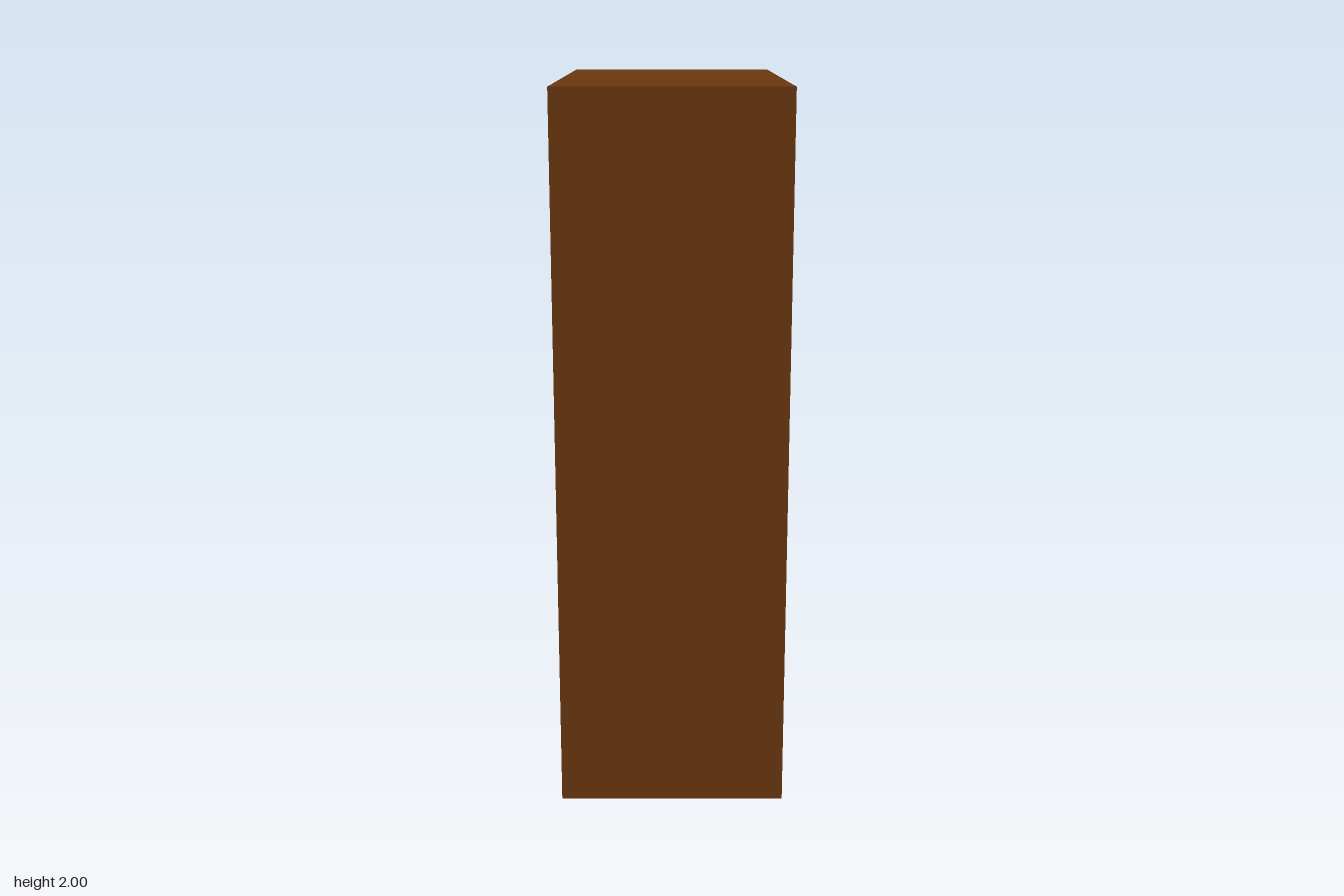
import * as THREE from 'three';

const W = 0.63, H = 2, D = 1.2, T = 0.03; // overall size and board thickness
const wood = new THREE.MeshStandardMaterial({ color: 0x6b3710 });

function box(name, material, size, position) {
  const mesh = new THREE.Mesh(new THREE.BoxGeometry(...size), material);
  mesh.name = name;
  mesh.position.set(...position);
  return mesh;
}

// A row of equal books standing on a shelf, spines towards -x, with some slots left empty
function bookRow({ name, color, count, pitch, width, start, empty }, floorY) {
  const row = new THREE.Group();
  row.name = name;
  const material = new THREE.MeshStandardMaterial({ color });
  const height = 0.42, depth = 0.47;
  for (let i = 0; i < count; i++) {
    if (empty.includes(i)) continue;
    const z = start + i * pitch + width / 2;
    row.add(box('book', material, [depth, height, width], [0, floorY + height / 2, z]));
  }
  return row;
}

export function createModel() {
  const model = new THREE.Group();
  model.name = 'bookcase';

  // Carcass, open on the -x side
  for (const s of [-1, 1]) {
    model.add(box(s > 0 ? 'frontPanel' : 'rearPanel', wood, [W, H, T], [0, H / 2, s * (D - T) / 2]));
  }
  const inner = D - 2 * T;
  model.add(box('backPanel', wood, [T, H - 2 * T, inner], [(W - T) / 2, H / 2, 0]));
  model.add(box('topPanel', wood, [W, T, inner], [0, H - T / 2, 0]));
  model.add(box('bottomPanel', wood, [W, T, inner], [0, T / 2, 0]));

  // Shelves between the four compartments
  for (const y of [0.5, 1, 1.5]) {
    model.add(box('shelf', wood, [W - T, T, inner], [-T / 2, y, 0]));
  }

  // Books, one colour per compartment from the bottom up
  const rows = [
    { name: 'redBooks', color: 0xd0342f, count: 10, pitch: 0.111, width: 0.09, start: -0.56, empty: [3, 7] },
    { name: 'blueBooks', color: 0x2b34c8, count: 9, pitch: 0.125, width: 0.095, start: -0.55, empty: [3] },
    { name: 'greenBooks', color: 0x126a1a, count: 8, pitch: 0.144, width: 0.085, start: -0.556, empty: [] },
    { name: 'purpleBooks', color: 0x6a1b9a, count: 10, pitch: 0.111, width: 0.09, start: -0.56, empty: [3, 7] },
  ];
  rows.forEach((row, i) => model.add(bookRow(row, i === 0 ? T : i * 0.5 + T / 2)));

  return model;
}
